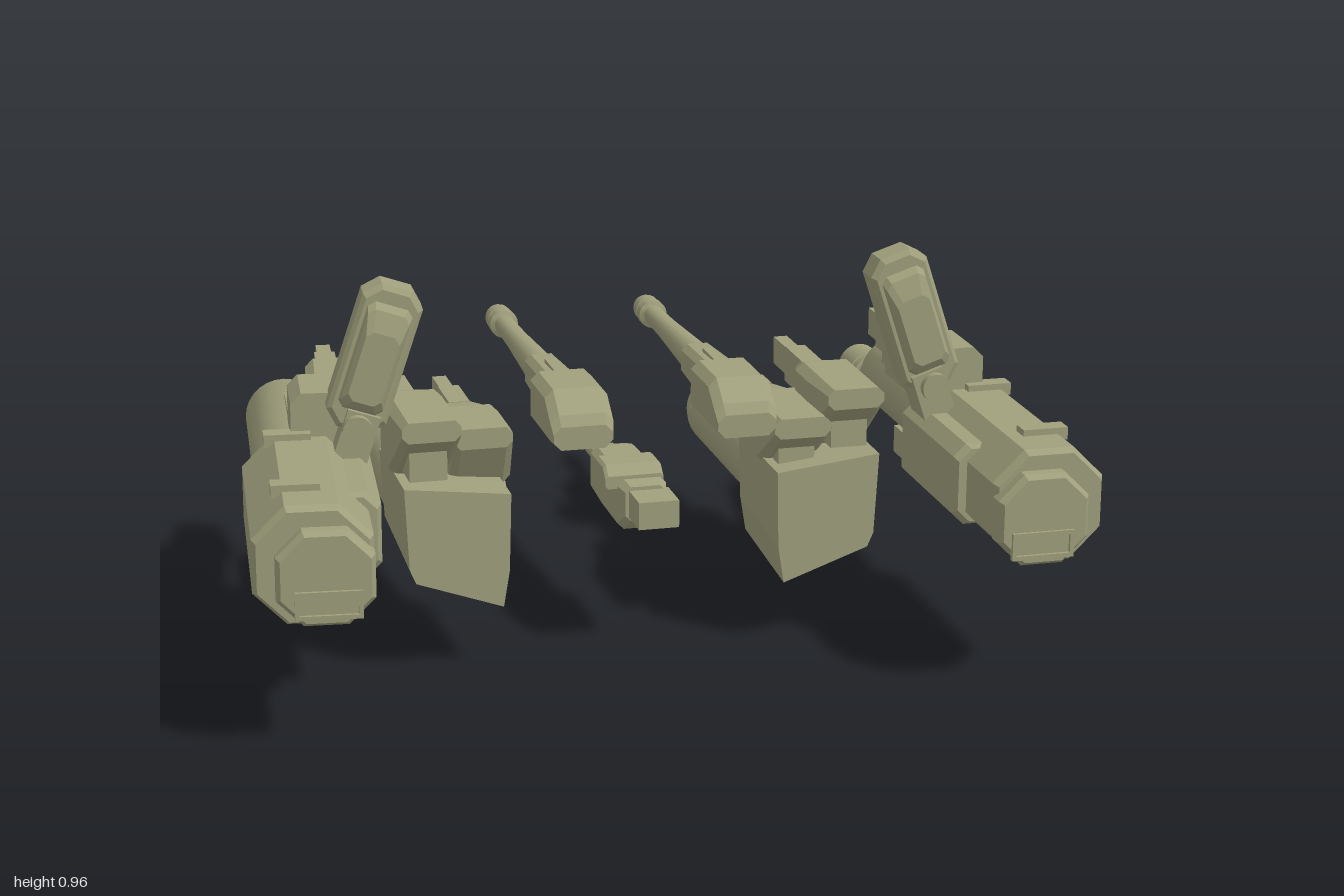
import * as THREE from 'three';
import { toCreasedNormals } from 'three/addons/utils/BufferGeometryUtils.js';

const olive = new THREE.MeshStandardMaterial({ color: 0xa0a07d });
olive.name = 'olive drab';

function add(parent, name, geometry, x = 0, y = 0, z = 0) {
  const mesh = new THREE.Mesh(geometry, olive);
  mesh.name = name;
  mesh.position.set(x, y, z);
  parent.add(mesh);
  return mesh;
}

// Box given by its ranges along y and z, and by centre and width along x
function block(parent, name, x, w, y0, y1, z0, z1) {
  return add(parent, name, new THREE.BoxGeometry(w, y1 - y0, z1 - z0), x, (y0 + y1) / 2, (z0 + z1) / 2);
}

// Chamfered hull along z; each section is [z, width, bottom, top, chamfer, xShift]
function loft(parent, name, x, sections) {
  const rings = sections.map(([z, w, b, t, c, dx = 0]) => {
    const a = w / 2;
    return [[a - c, b], [a, b + c], [a, t - c], [a - c, t], [c - a, t], [-a, t - c], [-a, b + c], [c - a, b]]
      .map(([px, py]) => [px + dx, py, z]);
  });
  const pos = [];
  const tri = (a, b, c) => pos.push(...a, ...b, ...c);
  for (let i = 0; i < rings.length - 1; i++) {
    const p = rings[i], q = rings[i + 1];
    for (let j = 0; j < 8; j++) {
      const k = (j + 1) % 8;
      tri(p[j], p[k], q[k]);
      tri(p[j], q[k], q[j]);
    }
  }
  const first = rings[0], last = rings[rings.length - 1];
  for (let j = 1; j < 7; j++) {
    tri(first[0], first[j + 1], first[j]);
    tri(last[0], last[j], last[j + 1]);
  }
  const g = new THREE.BufferGeometry();
  g.setAttribute('position', new THREE.Float32BufferAttribute(pos, 3));
  g.computeVertexNormals();
  return add(parent, name, g, x, 0, 0);
}

// Turned part along z; each point is [radius, z], listed towards +z
function turned(parent, name, x, y, points, sides = 28) {
  const g = new THREE.LatheGeometry(points.map(([r, z]) => new THREE.Vector2(r, z)), sides);
  g.rotateX(Math.PI / 2);
  return add(parent, name, toCreasedNormals(g, 0.6), x, y, 0);
}

function missilePod(parent, s) {
  const pod = new THREE.Group();
  pod.name = 'missilePod';
  pod.position.set(-s * 0.175, 0.78, 0.44);
  pod.rotation.z = s * 0.32;
  parent.add(pod);
  loft(pod, 'podCase', 0, [[-0.045, 0.12, -0.165, 0.165, 0.025], [-0.03, 0.145, -0.178, 0.178, 0.035],
    [0.035, 0.145, -0.178, 0.178, 0.035], [0.045, 0.125, -0.165, 0.165, 0.03]]);
  loft(pod, 'podCover', 0, [[0.04, 0.11, -0.13, 0.14, 0.015], [0.06, 0.10, -0.12, 0.12, 0.015],
    [0.075, 0.08, -0.1, 0.07, 0.015]]);
  for (let row = 0; row < 5; row++) {
    for (const col of [-1, 1]) {
      turned(pod, 'missile', col * 0.03, (row - 2) * 0.06,
        [[0, -0.085], [0.012, -0.08], [0.022, -0.06], [0.022, -0.04]], 10);
    }
  }
}

// Heavy cannon with its side gun and missile pod; x runs outward times s
function cannon(root, s, x, yaw) {
  const g = new THREE.Group();
  g.name = s > 0 ? 'leftCannon' : 'rightCannon';
  g.position.x = x;
  g.rotation.y = yaw;
  root.add(g);
  loft(g, 'cannonBody', 0, [[0.39, 0.25, 0.32, 0.575, 0.07], [0.40, 0.27, 0.31, 0.585, 0.075],
    [0.92, 0.27, 0.31, 0.585, 0.075], [0.94, 0.25, 0.32, 0.575, 0.07]]);
  loft(g, 'endCap', -s * 0.025, [[0.93, 0.22, 0.32, 0.54, 0.06], [0.965, 0.22, 0.32, 0.54, 0.06],
    [0.98, 0.2, 0.33, 0.53, 0.055]]);
  // Raised rim around the exhaust slot
  for (const y of [0.345, 0.4]) block(g, 'slotRim', -s * 0.03, 0.15, y - 0.005, y + 0.005, 0.975, 0.988);
  for (const e of [-1, 1]) block(g, 'slotRim', -s * 0.03 + e * 0.07, 0.01, 0.345, 0.4, 0.975, 0.988);
  loft(g, 'sideBlock', -s * 0.1, [[0.38, 0.13, 0.35, 0.55, 0.03], [0.74, 0.13, 0.35, 0.55, 0.03],
    [0.755, 0.11, 0.36, 0.54, 0.03]]);
  for (const z of [0.41, 0.78]) block(g, 'topLug', s * 0.03, 0.11, 0.57, 0.6, z, z + 0.045);
  turned(g, 'cannonBarrel', s * 0.01, 0.45,
    [[0, -0.2], [0.085, -0.2], [0.097, -0.18], [0.097, 0.4]]);
  turned(g, 'cannonMuzzle', -s * 0.02, 0.415, [[0, -0.33], [0.04, -0.33], [0.04, -0.39], [0.055, -0.395],
    [0.057, -0.31], [0.068, -0.305], [0.068, -0.28], [0.06, -0.275], [0.06, -0.26], [0.075, -0.255],
    [0.075, -0.23], [0.066, -0.225], [0.066, -0.15]]);
  block(g, 'barrelRail', -s * 0.03, 0.09, 0.5, 0.56, -0.02, 0.4);
  block(g, 'lowerRail', -s * 0.02, 0.1, 0.31, 0.38, 0.05, 0.4);
  if (s < 0) block(g, 'lowerMount', -s * 0.055, 0.15, 0.245, 0.36, 0.2, 0.62);
  // Side gun on top
  const gx = -s * 0.085;
  loft(g, 'sideGunBody', gx, [[0.08, 0.06, 0.58, 0.67, 0.01], [0.14, 0.11, 0.56, 0.69, 0.02],
    [0.3, 0.12, 0.56, 0.69, 0.02]]);
  loft(g, 'sideGunBreech', gx + s * 0.02, [[0.27, 0.17, 0.55, 0.69, 0.025], [0.43, 0.17, 0.55, 0.69, 0.025]]);
  block(g, 'sideGunBarrel', gx, 0.035, 0.59, 0.66, -0.08, 0.1);
  block(g, 'sideGunSleeve', gx, 0.05, 0.58, 0.665, 0, 0.1);
  // Arm carrying the pod
  block(g, 'podArm', -s * 0.12, 0.08, 0.48, 0.66, 0.4, 0.5).rotation.z = s * 0.32;
  turned(g, 'podPivot', -s * 0.13, 0.62, [[0, 0.38], [0.035, 0.38], [0.035, 0.52], [0, 0.52]], 16);
  missilePod(g, s);
}

// Launch tube with keel-shaped hood and twin guns above it
function launcher(root, s, x, guns) {
  const g = new THREE.Group();
  g.name = s > 0 ? 'leftLauncher' : 'rightLauncher';
  root.add(g);
  turned(g, 'launchTube', s * x, 0.31, [[0, -0.3], [0.06, -0.3], [0.07, -0.44], [0.088, -0.44],
    [0.097, -0.4], [0.097, -0.385], [0.093, -0.38], [0.097, -0.375], [0.097, 0.25]]);
  block(g, 'tubeRail', s * x, 0.08, 0.36, 0.42, -0.1, 0.25);
  const outline = [[-0.13, 0.44], [-0.125, 0.25], [-0.11, 0.16], [0.1, 0.235], [0.115, 0.27], [0.125, 0.47]];
  const shape = new THREE.Shape(outline.map(([px, py]) => new THREE.Vector2(s * (px + x), py)));
  const hood = new THREE.ExtrudeGeometry(shape, { depth: 0.33, bevelEnabled: false });
  // Lift the keel towards the rear
  const p = hood.attributes.position;
  for (let i = 0; i < p.count; i++) {
    if (p.getZ(i) < 0.1 && p.getY(i) < 0.3) p.setY(i, p.getY(i) + 0.025);
  }
  hood.computeVertexNormals();
  add(g, 'hood', hood, 0, 0, 0.2);
  for (const [gx, bottom, top, tip, start, tail] of guns) {
    const mid = (bottom + top) / 2 + 0.015;
    loft(g, 'twinGunBody', s * gx, [[start, 0.07, mid - 0.04, mid + 0.04, 0.01],
      [start + 0.09, 0.13, bottom + 0.01, top - 0.01, 0.02], [start + 0.12, 0.15, bottom, top, 0.02],
      [0.39, 0.15, bottom, top, 0.02], [tail, 0.14, top - 0.05, top, 0.015]]);
    block(g, 'twinGunBarrel', s * gx, 0.035, mid - 0.035, mid + 0.035, tip, start + 0.02);
    block(g, 'twinGunSleeve', s * gx, 0.052, mid - 0.045, mid + 0.045, (tip + start) / 2, start + 0.02);
    block(g, 'gunTailBox', s * gx, 0.09, bottom + 0.02, top - 0.05, 0.36, tail - 0.05);
  }
}

// Long slim gun with a blunt counterweight housing
function slimGun(root, x) {
  const g = new THREE.Group();
  g.name = 'slimGun';
  root.add(g);
  loft(g, 'slimGunHousing', x, [[0.46, 0.12, 0.605, 0.71, 0.02], [0.48, 0.148, 0.595, 0.72, 0.02],
    [0.63, 0.148, 0.595, 0.72, 0.02], [0.69, 0.148, 0.595, 0.675, 0.02], [0.705, 0.14, 0.595, 0.65, 0.018]]);
  loft(g, 'slimGunReceiver', x, [[0.27, 0.08, 0.62, 0.7, 0.015], [0.47, 0.09, 0.61, 0.71, 0.015]]);
  block(g, 'slimGunRail', x, 0.025, 0.68, 0.715, 0.36, 0.47);
  turned(g, 'slimGunBarrel', x, 0.66, [[0, -0.2], [0.018, -0.2], [0.018, -0.235], [0.03, -0.235], [0.034, -0.22],
    [0.034, -0.19], [0.028, -0.188], [0.028, -0.18], [0.036, -0.178], [0.036, -0.15], [0.025, -0.145],
    [0.028, 0], [0.04, 0.28]], 20);
}

// Small hand weapon
function smallGun(root, s) {
  const g = new THREE.Group();
  g.name = 'smallGun';
  root.add(g);
  const x = s * 0.235;
  loft(g, 'smallGunBody', x, [[-0.71, 0.1, 0.02, 0.135, 0.015], [-0.67, 0.135, 0.015, 0.145, 0.018],
    [-0.54, 0.135, 0.005, 0.145, 0.018], [-0.37, 0.135, 0.005, 0.145, 0.018], [-0.33, 0.11, 0.04, 0.135, 0.015]]);
  block(g, 'smallGunStock', x + s * 0.01, 0.11, 0.05, 0.125, -0.34, -0.225);
  loft(g, 'smallGunSight', s * 0.215, [[-0.51, 0.16, 0.12, 0.165, 0.008], [-0.48, 0.16, 0.12, 0.18, 0.008],
    [-0.4, 0.16, 0.12, 0.18, 0.008], [-0.37, 0.16, 0.12, 0.155, 0.008]]);
  block(g, 'smallGunNose', s * 0.23, 0.05, 0.035, 0.12, -0.765, -0.69);
  turned(g, 'smallGunBarrel', s * 0.225, 0.073, [[0, -0.97], [0.01, -0.97], [0.01, -0.99], [0.016, -0.99],
    [0.017, -0.965], [0.022, -0.955], [0.022, -0.84], [0.013, -0.825], [0.013, -0.75]], 14);
}

export function createModel() {
  const root = new THREE.Group();
  root.name = 'weaponSet';
  cannon(root, 1, 0.865, 0);
  cannon(root, -1, -0.755, -0.1);
  // Twin guns: centre, bottom, top, barrel tip, body start, tail end
  launcher(root, 1, 0.465, [[0.525, 0.46, 0.64, -0.08, 0.17, 0.54], [0.4, 0.42, 0.57, 0.04, 0.15, 0.52]]);
  launcher(root, -1, 0.447, [[0.51, 0.46, 0.64, -0.04, 0.18, 0.56], [0.365, 0.42, 0.58, -0.1, 0.14, 0.45]]);
  slimGun(root, 0.205);
  slimGun(root, -0.185);
  smallGun(root, 1);
  smallGun(root, -1);
  return root;
}
